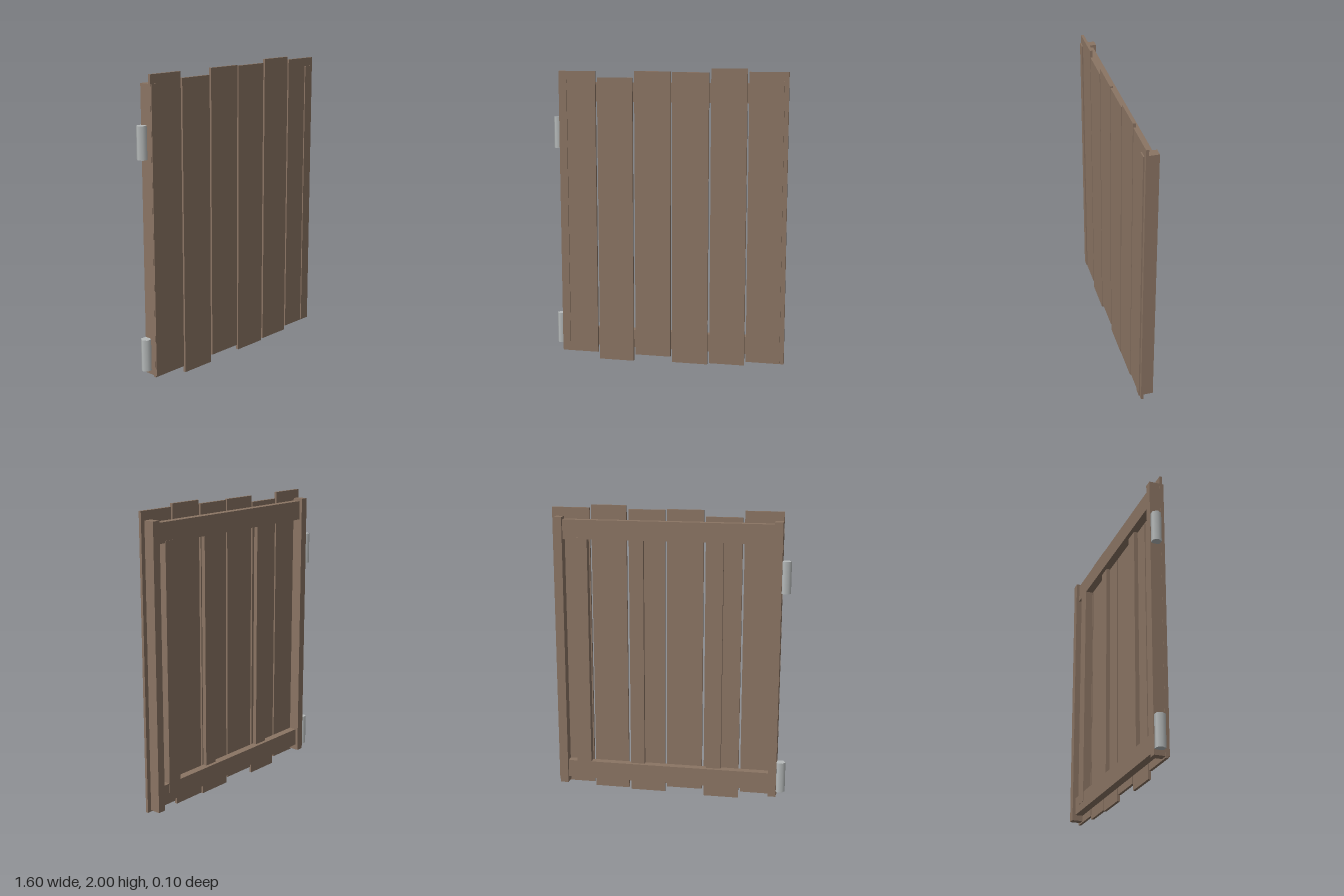
import * as THREE from 'three';

export function createModel() {
  const model = new THREE.Group();
  const wood = new THREE.MeshStandardMaterial({ color: 0x8a7463 });
  wood.name = 'weathered wood';
  const metal = new THREE.MeshStandardMaterial({ color: 0xb6baba });
  metal.name = 'grey metal';

  // Wooden board given by its extents
  function board(name, x0, x1, y0, y1, z0, z1) {
    const mesh = new THREE.Mesh(new THREE.BoxGeometry(x1 - x0, y1 - y0, z1 - z0), wood);
    mesh.position.set((x0 + x1) / 2, (y0 + y1) / 2, (z0 + z1) / 2);
    mesh.name = name;
    model.add(mesh);
  }

  // Uneven front planks: x0, x1, y0, y1
  [
    [-0.742, -0.49, 0.047, 1.98],
    [-0.477, -0.236, 0, 1.937],
    [-0.222, 0.022, 0.047, 1.98],
    [0.035, 0.278, 0.01, 1.975],
    [0.293, 0.53, 0.02, 2],
    [0.542, 0.797, 0.047, 1.98],
  ].forEach(([x0, x1, y0, y1], i) => board('plank' + (i + 1), x0, x1, y0, y1, 0.022, 0.04));

  // Frame posts, slightly proud of the planks
  board('rightPost', -0.741, -0.687, 0.057, 1.922, -0.05, 0.048);
  board('leftPost', 0.715, 0.769, 0.057, 1.922, -0.05, 0.048);

  // Cross rails
  board('topRail', -0.69, 0.72, 1.777, 1.905, -0.03, 0.022);
  board('bottomRail', -0.69, 0.72, 0.095, 0.216, -0.03, 0.022);

  // Back battens; the left one laps over the bottom rail
  board('leftBatten', 0.55, 0.65, 0.15, 1.79, -0.032, 0.022);
  board('middleBatten', 0.176, 0.27, 0.2, 1.79, -0.005, 0.022);
  board('rightBatten', -0.356, -0.255, 0.2, 1.79, -0.005, 0.022);

  // Six-sided hinge barrels
  for (const [name, y] of [['lowerHinge', 0.195], ['upperHinge', 1.565]]) {
    const hinge = new THREE.Mesh(new THREE.CylinderGeometry(0.034, 0.034, 0.21, 6), metal);
    hinge.rotation.y = Math.PI / 2;
    hinge.position.set(-0.766, y, -0.02);
    hinge.name = name;
    model.add(hinge);
  }
  return model;
}
